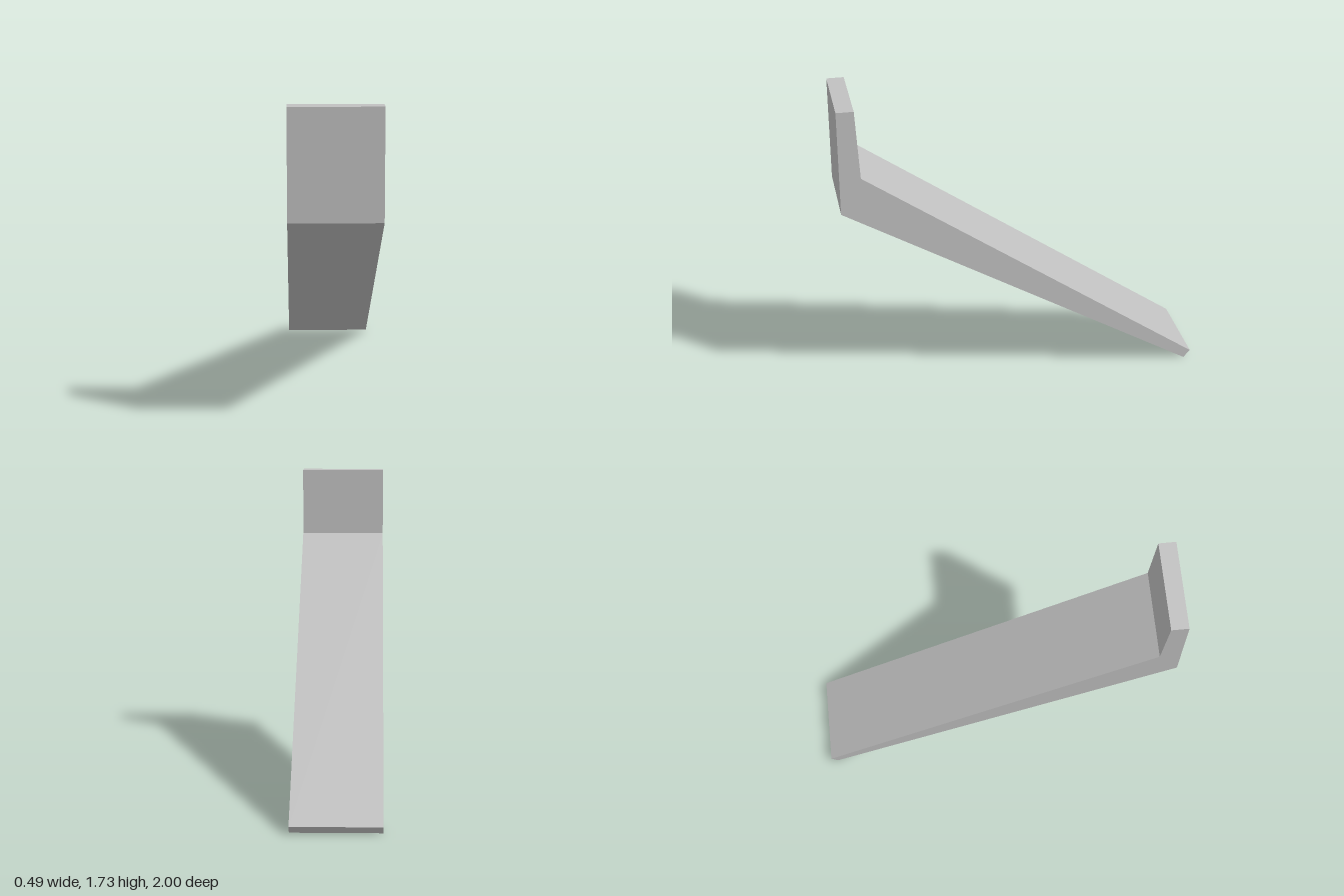
import * as THREE from 'three';

export function createModel() {
  const group = new THREE.Group();
  const lightGrey = new THREE.MeshStandardMaterial({ color: 0xc0c0c0 });
  lightGrey.name = 'lightGrey';

  // Side profile as (z, y): upright lip at the front, tapering sloped arm to the back
  const profile = [
    [-0.962, 0], [1, 1.14], [1, 1.73], [0.905, 1.73], [0.885, 1.343], [-1, 0.043],
  ].map(([z, y]) => new THREE.Vector2(z, y));

  // Extrude across the width, then turn the profile to run along z
  const width = 0.49;
  const geometry = new THREE.ExtrudeGeometry(new THREE.Shape(profile), {
    depth: width, bevelEnabled: false,
  });
  geometry.translate(0, 0, -width / 2);
  geometry.rotateY(-Math.PI / 2);

  const bracket = new THREE.Mesh(geometry, lightGrey);
  bracket.name = 'slopedBracket';
  group.add(bracket);
  return group;
}
